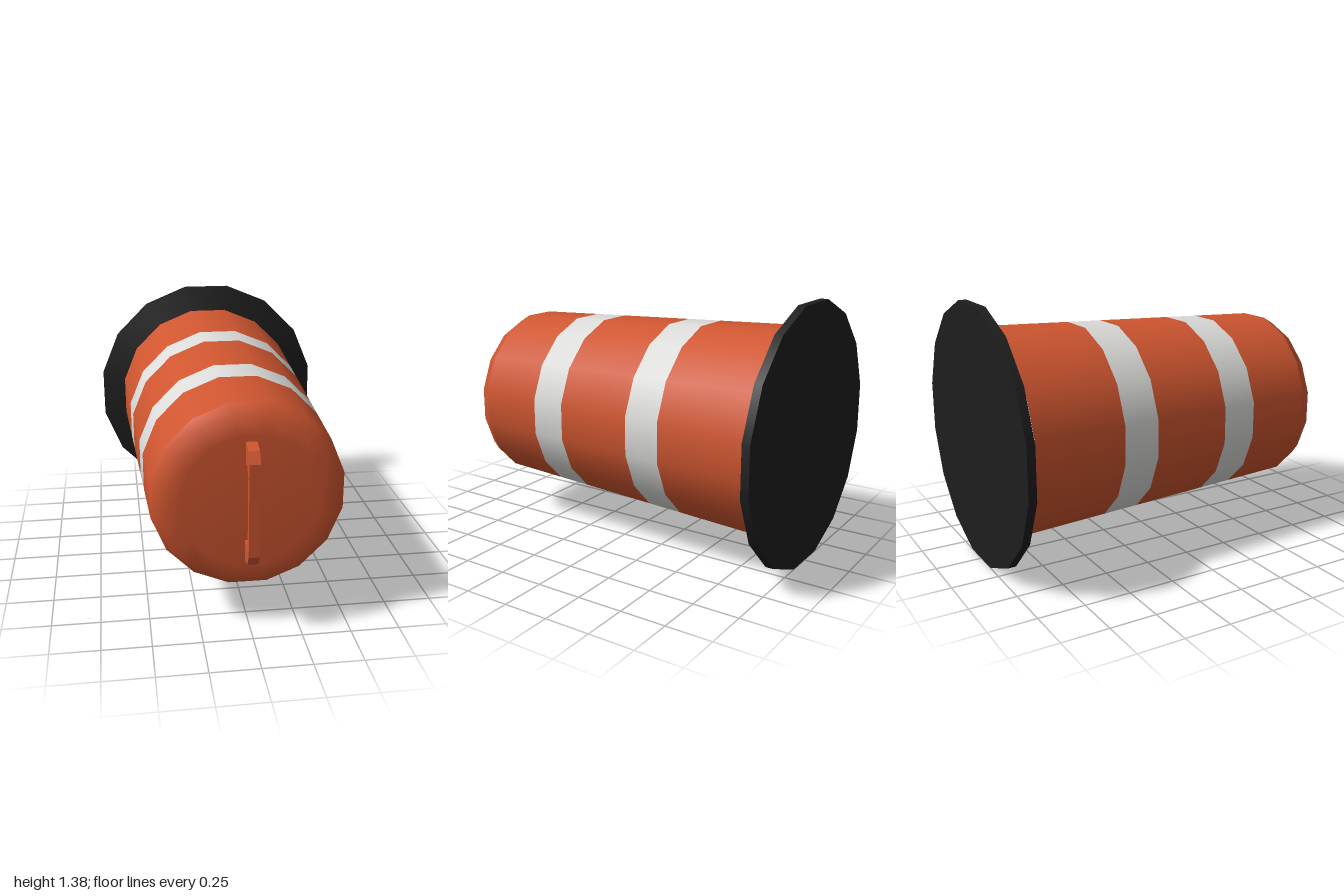
import * as THREE from 'three';

const SIDES = 16;
const CENTER_Y = 0.692;

export function createModel() {
  const model = new THREE.Group();
  model.name = 'trafficDrum';

  const material = (name, color) => {
    const m = new THREE.MeshStandardMaterial({ color });
    m.name = name;
    return m;
  };
  const orange = material('orange plastic', 0xd05630);
  const white = material('reflective white', 0xdcdcda);
  const black = material('black rubber', 0x1e1e1e);

  const add = (name, geometry, mat) => {
    const mesh = new THREE.Mesh(geometry, mat);
    mesh.name = name;
    model.add(mesh);
  };

  // Sixteen-sided ring around the z axis; profile is [radius, z] from back to front
  const ring = (name, profile, mat) => {
    const points = profile.map(([r, z]) => new THREE.Vector2(r, z));
    const geo = new THREE.LatheGeometry(points, SIDES, Math.PI / SIDES);
    geo.rotateX(Math.PI / 2).translate(0, CENTER_Y, 0);
    add(name, geo, mat);
  };

  // Rubber base: back, rim and sloping shoulder, kept apart for crisp edges
  ring('baseBottom', [[0, -1], [0.706, -1]], black);
  ring('baseRim', [[0.706, -1], [0.706, -0.957]], black);
  ring('baseShoulder', [[0.706, -0.957], [0.56, -0.9]], black);

  // Tapered barrel in alternating colour bands
  const radiusAt = (z) => THREE.MathUtils.mapLinear(z, -0.9, 0.8, 0.564, 0.49);
  const bands = [-0.9, -0.4, -0.2, 0.235, 0.432, 0.8];
  for (let i = 0; i < bands.length - 1; i++) {
    const [a, b] = [bands[i], bands[i + 1]];
    const stripe = i % 2 === 1;
    ring(stripe ? 'reflectiveStripe' : 'barrelBand', [[radiusAt(a), a], [radiusAt(b), b]], stripe ? white : orange);
  }

  // Rounded closed end
  ring('barrelEnd', [[0.49, 0.8], [0.452, 0.865], [0.345, 0.887], [0, 0.888]], orange);

  // Plates in the z-y plane, extruded across x
  const path = (Type, pts) => new Type(pts.map(([z, y]) => new THREE.Vector2(z, y)));
  const plate = (name, outline, width, hole) => {
    const shape = path(THREE.Shape, outline);
    if (hole) shape.holes.push(path(THREE.Path, hole));
    const geo = new THREE.ExtrudeGeometry(shape, { depth: width, bevelEnabled: false });
    geo.translate(0, 0, -width / 2).rotateY(-Math.PI / 2).translate(0, CENTER_Y, 0);
    add(name, geo, orange);
  };

  // Carrying handle: wide outer rim with thinner recessed webs at both ends
  plate('handleRim',
    [[0.87, -0.315], [0.89, -0.312], [0.965, -0.295], [1, -0.24], [1, 0.24], [0.965, 0.295], [0.89, 0.312], [0.87, 0.315]],
    0.054,
    [[0.88, -0.2], [0.88, 0.2], [0.935, 0.21], [0.965, 0.16], [0.965, -0.16], [0.935, -0.21]]);
  for (const s of [-1, 1]) {
    plate('handleWeb', [[0.875, s * 0.116], [0.967, s * 0.105], [0.967, s * 0.18], [0.935, s * 0.23], [0.875, s * 0.23]], 0.028);
  }

  return model;
}
